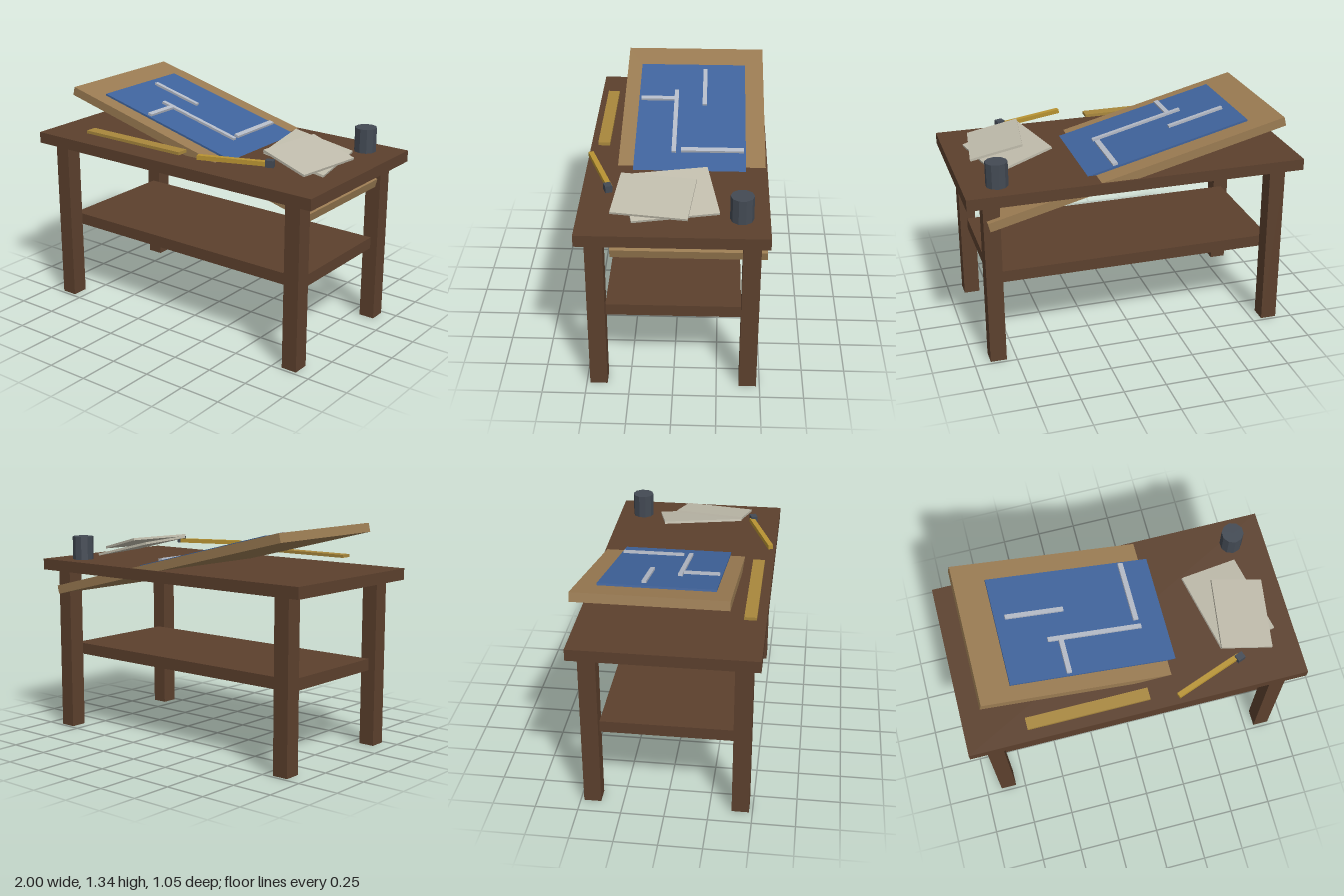
import * as THREE from 'three';

export function createModel() {
  const model = new THREE.Group();
  model.name = 'draftingTable';

  const paint = (name, color) => {
    const m = new THREE.MeshStandardMaterial({ color });
    m.name = name;
    return m;
  };
  const darkWood = paint('dark wood', 0x5c402d);
  const lightWood = paint('light wood', 0x9a7b52);
  const blue = paint('drawing blue', 0x3f639c);
  const lineGrey = paint('pale line', 0xb4bac6);
  const paper = paint('paper', 0xbfbbab);
  const brass = paint('ruler yellow', 0xa8873c);
  const yellow = paint('pencil yellow', 0xb89332);
  const slate = paint('slate', 0x434a54);

  const box = (parent, name, material, size, pos, yaw = 0, tilt = 0) => {
    const mesh = new THREE.Mesh(new THREE.BoxGeometry(...size), material);
    mesh.name = name;
    mesh.position.set(...pos);
    mesh.rotation.set(0, yaw, tilt);
    parent.add(mesh);
    return mesh;
  };

  // Table: top, lower shelf and four legs
  box(model, 'tableTop', darkWood, [2, 0.068, 1.05], [0, 1.037, 0]);
  box(model, 'lowerShelf', darkWood, [1.72, 0.07, 0.76], [0, 0.495, 0]);
  for (const sx of [-1, 1]) {
    for (const sz of [-1, 1]) {
      box(model, 'leg', darkWood, [0.096, 1.005, 0.1], [sx * 0.857, 0.5025, sz * 0.43]);
    }
  }

  // Tilted drawing board, running down through the table top
  const slope = -0.244;
  const board = new THREE.Group();
  board.name = 'drawingBoard';
  board.position.set(0.006, 1.1, -0.085);
  board.rotation.z = slope;
  model.add(board);
  box(board, 'boardPanel', lightWood, [1.8, 0.053, 0.86], [0, 0, 0]);
  box(board, 'drawingSheet', blue, [1.041, 0.012, 0.655], [-0.1955, 0.0325, 0.0125]);

  // Raised plan lines, given as x and z ranges seen from above
  const planLines = [
    [-0.62, -0.285, -0.163, -0.137],
    [-0.415, 0.135, 0.011, 0.037],
    [-0.355, -0.327, 0.037, 0.242],
    [0.1, 0.13, -0.388, -0.018],
  ];
  for (const [x0, x1, z0, z1] of planLines) {
    const size = [(x1 - x0) / Math.cos(slope), 0.014, z1 - z0];
    const x = ((x0 + x1) / 2 - 0.017) / Math.cos(slope);
    box(board, 'planLine', lineGrey, size, [x, 0.0455, (z0 + z1) / 2 + 0.085]);
  }

  // Loose sheets
  box(model, 'lowerPaper', paper, [0.368, 0.014, 0.486], [0.659, 1.134, 0.0225], 0.21, slope);
  box(model, 'upperPaper', paper, [0.312, 0.014, 0.426], [0.714, 1.152, 0.11], -0.14, slope);

  // Ruler, and pencil with a dark end
  box(model, 'ruler', brass, [0.715, 0.018, 0.07], [-0.287, 1.125, 0.439]);
  box(model, 'pencil', yellow, [0.42, 0.026, 0.03], [0.425, 1.145, 0.428], 0.35);
  box(model, 'pencilEnd', slate, [0.048, 0.04, 0.04], [0.628, 1.152, 0.367], 0.35);

  // Faceted pot
  const potShape = new THREE.CylinderGeometry(0.065, 0.065, 0.145, 10).toNonIndexed();
  potShape.computeVertexNormals();
  const pot = new THREE.Mesh(potShape, slate);
  pot.name = 'pencilPot';
  pot.position.set(0.798, 1.1425, -0.371);
  model.add(pot);

  return model;
}
